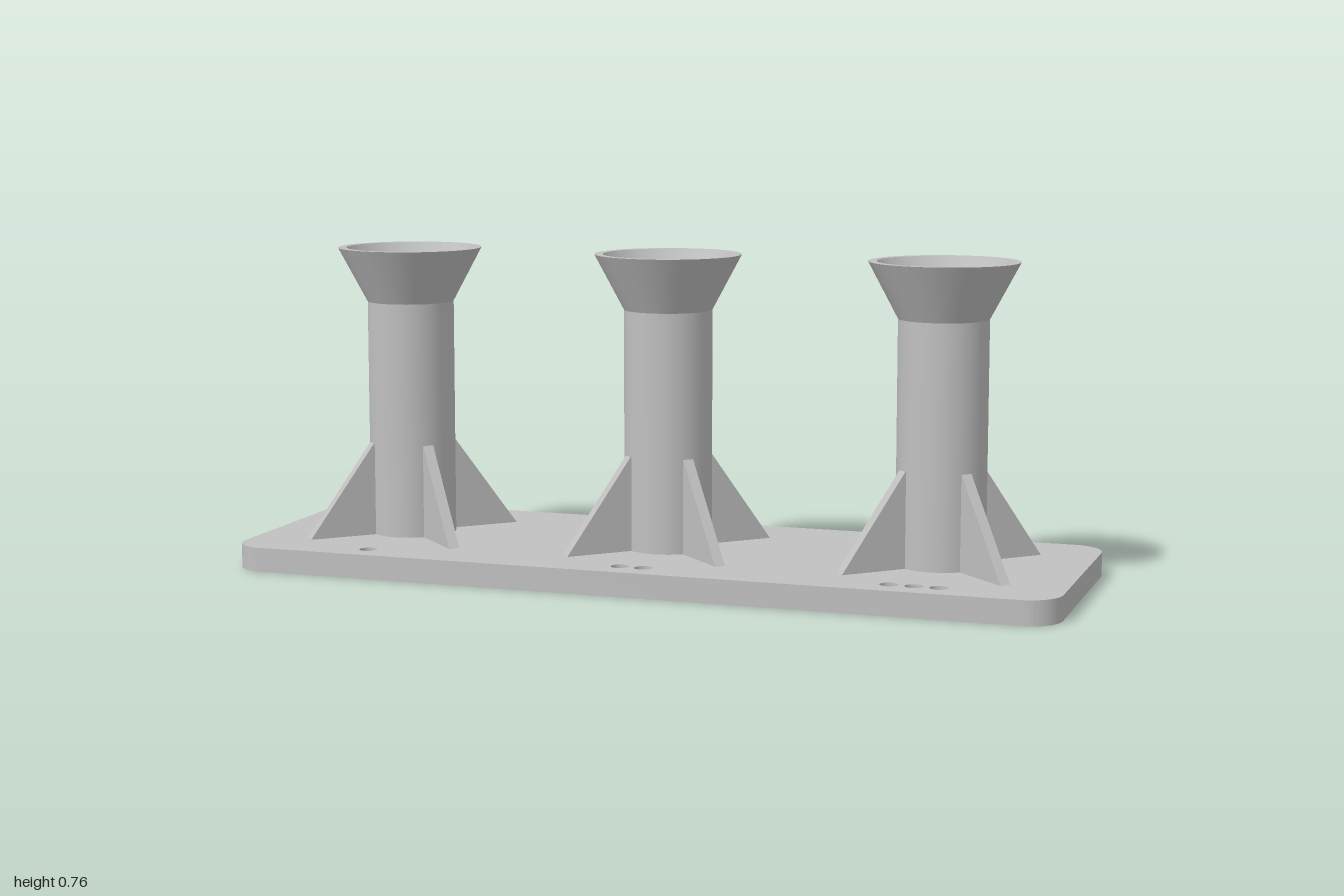
import * as THREE from 'three';
import { mergeGeometries, toCreasedNormals } from 'three/addons/utils/BufferGeometryUtils.js';

const HALF_X = 1, HALF_Z = 0.333, CORNER = 0.08, PLATE = 0.058;
const STATIONS = [-0.667, 0, 0.667];
const DOT_Z = 0.265, DOT_R = 0.021, RECESS_R = 0.29;

// Lathe with a sharp edge at every profile point.
function sharpLathe(profile, segments) {
  const bands = [];
  for (let i = 0; i < profile.length - 1; i++) {
    const pair = [profile[i], profile[i + 1]].map(([r, y]) => new THREE.Vector2(r, y));
    bands.push(new THREE.LatheGeometry(pair, segments));
  }
  return mergeGeometries(bands);
}

// Rounded plate outline with circular holes given as [x, y, radius].
function plateShape(holes = []) {
  const s = new THREE.Shape();
  const x = HALF_X - CORNER, y = HALF_Z - CORNER;
  [[x, y], [-x, y], [-x, -y], [x, -y]].forEach(([cx, cy], i) =>
    s.absarc(cx, cy, CORNER, i * Math.PI / 2, (i + 1) * Math.PI / 2, false));
  for (const [hx, hy, r] of holes) {
    s.holes.push(new THREE.Path().absarc(hx, hy, r, 0, Math.PI * 2, true));
  }
  return s;
}

export function createModel() {
  const model = new THREE.Group();
  const grey = new THREE.MeshStandardMaterial({ color: 0xc0c0c0 });
  grey.name = 'plain grey';

  const add = (parent, name, geometry, x = 0, y = 0, z = 0) => {
    const mesh = new THREE.Mesh(geometry, grey);
    mesh.name = name;
    mesh.position.set(x, y, z);
    parent.add(mesh);
    return mesh;
  };

  // One, two and three marker dots beside the stations
  const dots = [];
  STATIONS.forEach((x, i) => {
    for (let k = 0; k <= i; k++) dots.push([x + (k - i / 2) * 0.057, -DOT_Z, DOT_R]);
  });

  // Base plate: top face, underside and rim
  const base = new THREE.Group();
  base.name = 'basePlate';
  model.add(base);
  const top = new THREE.ShapeGeometry(plateShape(dots), 24).rotateX(-Math.PI / 2);
  add(base, 'plateTop', top, 0, PLATE, 0);
  const recesses = STATIONS.map((x) => [x, 0, RECESS_R]);
  add(base, 'plateUnderside', new THREE.ShapeGeometry(plateShape(recesses), 32).rotateX(Math.PI / 2));

  const solid = new THREE.ExtrudeGeometry(plateShape(), { depth: PLATE, bevelEnabled: false, curveSegments: 16 });
  const sides = solid.groups[1];
  const rim = new THREE.BufferGeometry();
  rim.setAttribute('position', new THREE.BufferAttribute(
    solid.attributes.position.array.slice(sides.start * 3, (sides.start + sides.count) * 3), 3));
  rim.rotateX(-Math.PI / 2);
  add(base, 'plateRim', toCreasedNormals(rim, 0.5));

  // Shallow blind marker holes
  const dotGeo = sharpLathe([[DOT_R, PLATE], [DOT_R, 0.048], [0, 0.048]], 24);
  for (const [x, y] of dots) add(base, 'markerDot', dotGeo, x, 0, -y);

  // Ring recess around a flush boss
  const recessGeo = sharpLathe(
    [[0, 0], [0.125, 0], [0.125, 0.044], [RECESS_R, 0.044], [RECESS_R, 0]], 64);

  // Tube with a flared mouth and a blind bore
  const towerGeo = sharpLathe([
    [0.105, PLATE], [0.105, 0.63], [0.175, 0.762], [0.155, 0.762],
    [0.058, 0.58], [0.058, 0.06], [0, 0.06],
  ], 64);

  // Triangular brace, reaching slightly into the tube
  const braceShape = new THREE.Shape([
    [0.09, PLATE], [0.271, PLATE], [0.106, 0.284], [0.09, 0.284],
  ].map(([x, y]) => new THREE.Vector2(x, y)));
  const braceGeo = new THREE.ExtrudeGeometry(braceShape, { depth: 0.026, bevelEnabled: false });
  braceGeo.translate(0, 0, -0.013);

  for (const x of STATIONS) {
    const station = new THREE.Group();
    station.name = 'station';
    station.position.x = x;
    model.add(station);
    add(station, 'flaredTube', towerGeo);
    add(station, 'undersideRecess', recessGeo);
    for (let i = 0; i < 4; i++) {
      add(station, 'brace', braceGeo).rotation.y = Math.PI / 4 + i * Math.PI / 2;
    }
  }
  return model;
}
